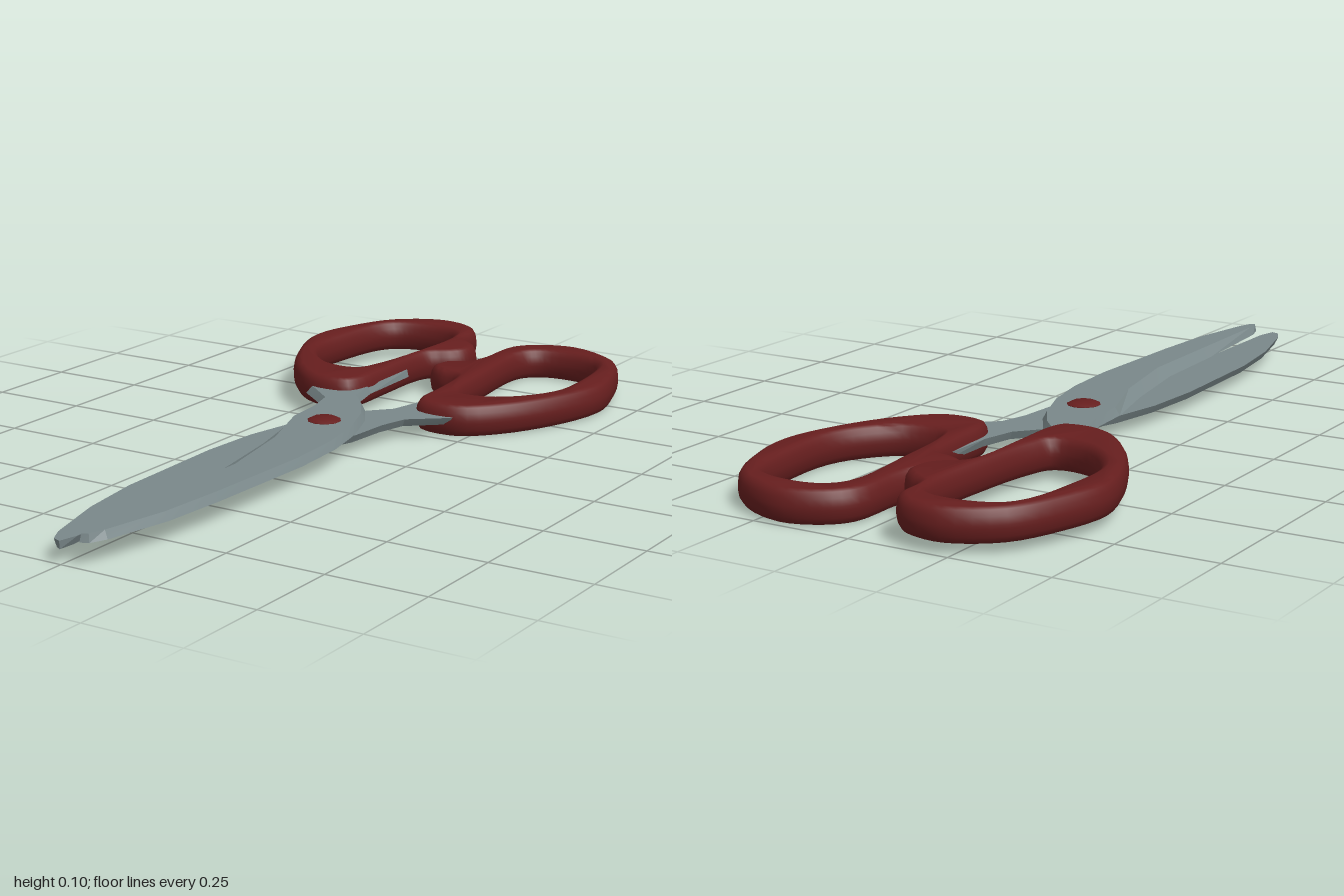
import * as THREE from 'three';
import { toCreasedNormals } from 'three/addons/utils/BufferGeometryUtils.js';

const red = new THREE.MeshStandardMaterial({ color: 0x661e1e });
red.name = 'handleRed';
const steel = new THREE.MeshStandardMaterial({ color: 0x7a888a });
steel.name = 'bladeSteel';

// Outlines are [x, z] pairs seen from above.
const leftGrip = [
  [-0.23, -0.998], [-0.13, -0.985], [-0.08, -0.935], [-0.07, -0.85], [-0.03, -0.82], [0.003, -0.785],
  [0.005, -0.725], [-0.02, -0.685], [-0.06, -0.655], [-0.073, -0.6], [-0.073, -0.45], [-0.075, -0.32],
  [-0.1, -0.278], [-0.2, -0.275], [-0.3, -0.355], [-0.39, -0.5], [-0.44, -0.66], [-0.415, -0.79], [-0.35, -0.925],
];
const rightGrip = [
  [0.2, -0.998], [0.09, -0.963], [0.038, -0.9], [0.03, -0.76], [0.015, -0.705], [-0.03, -0.675],
  [-0.038, -0.61], [0.005, -0.575], [0.06, -0.56], [0.072, -0.53], [0.085, -0.42], [0.093, -0.32],
  [0.12, -0.278], [0.23, -0.275], [0.32, -0.355], [0.4, -0.5], [0.44, -0.66], [0.415, -0.79], [0.35, -0.925],
];
const leftHole = [
  [-0.32, -0.865], [-0.26, -0.9], [-0.155, -0.9], [-0.115, -0.86], [-0.115, -0.62], [-0.135, -0.47],
  [-0.155, -0.42], [-0.245, -0.432], [-0.345, -0.545], [-0.353, -0.7],
];
const rightHole = [
  [0.32, -0.865], [0.26, -0.9], [0.15, -0.9], [0.11, -0.86], [0.12, -0.62], [0.138, -0.47],
  [0.16, -0.42], [0.255, -0.432], [0.345, -0.545], [0.355, -0.7],
];

// Blade and tang: [x, z, inset of the outer face].
const bladeOutline = [
  [-0.1, -0.55, 0.004], [-0.07, -0.55, 0.004], [-0.065, -0.35, 0.008], [-0.045, -0.265, 0.01],
  [0.005, -0.21, 0.01], [0.055, -0.13, 0.01], [0.1, -0.01, 0.01], [0.127, 0.12, 0.012],
  [0.137, 0.28, 0.012], [0.127, 0.6, 0.012], [0.115, 0.77, 0.012], [0.08, 0.94, 0.01],
  [0.062, 0.98, 0.006], [0.042, 0.988, 0.005], [0.027, 0.94, 0.01], [0.005, 0.65, 0.032],
  [-0.005, 0.4, 0.035], [-0.045, 0.17, 0.03], [-0.09, -0.01, 0.012], [-0.098, -0.12, 0.01],
  [-0.118, -0.195, 0.012], [-0.21, -0.27, 0.016], [-0.205, -0.32, 0.01], [-0.14, -0.36, 0.008],
];

// Closed counter-clockwise curve through the points.
function smoothLoop(pts, n) {
  const loop = new THREE.CatmullRomCurve3(pts.map(([x, z]) => new THREE.Vector3(x, -z, 0)), true)
    .getPoints(n).slice(0, -1).map((p) => new THREE.Vector2(p.x, p.y));
  return THREE.ShapeUtils.isClockWise(loop) ? loop.reverse() : loop;
}

// Rounded finger loop, 0.08 thick, standing on baseY.
function makeGrip(name, outline, hole, baseY) {
  const shape = new THREE.Shape(smoothLoop(outline, 76));
  shape.holes.push(new THREE.Path(smoothLoop(hole, 50)));
  const geo = new THREE.ExtrudeGeometry(shape, {
    depth: 0.008, bevelThickness: 0.036, bevelSize: 0.02, bevelOffset: -0.02, bevelSegments: 3,
  });
  geo.rotateX(-Math.PI / 2).translate(0, baseY + 0.036, 0);
  const mesh = new THREE.Mesh(toCreasedNormals(geo, 0.8), red);
  mesh.name = name;
  return mesh;
}

// Flat plate between a full outline and an inset one, giving ground edges.
function makeBlade(name, outline, yFull, yInset) {
  const pts = outline.map(([x, z, inset]) => ({ p: new THREE.Vector2(x, -z), inset }));
  if (THREE.ShapeUtils.isClockWise(pts.map((o) => o.p))) pts.reverse();
  const n = pts.length;
  const full = pts.map((o) => o.p);
  const inner = pts.map(({ p, inset }, i) => {
    const a = p.clone().sub(full[(i + n - 1) % n]).normalize();
    const b = full[(i + 1) % n].clone().sub(p).normalize();
    const t = a.add(b).normalize();
    return new THREE.Vector2(p.x - t.y * inset, p.y + t.x * inset);
  });
  const up = yInset > yFull;
  const rows = up ? [[full, yFull], [inner, yInset]] : [[inner, yInset], [full, yFull]];
  const pos = [];
  for (const [loop, y] of rows) for (const p of loop) pos.push(p.x, y, -p.y);
  const index = [];
  for (const [a, b, c] of THREE.ShapeUtils.triangulateShape(full, [])) {
    index.push(n + a, n + b, n + c, c, b, a);
  }
  for (let i = 0; i < n; i++) {
    const j = (i + 1) % n;
    index.push(i, j, n + j, i, n + j, n + i);
  }
  const geo = new THREE.BufferGeometry();
  geo.setAttribute('position', new THREE.Float32BufferAttribute(pos, 3));
  geo.setIndex(index);
  const mesh = new THREE.Mesh(toCreasedNormals(geo, 0.2), steel);
  mesh.name = name;
  return mesh;
}

export function createModel() {
  const group = new THREE.Group();
  group.name = 'scissors';

  // The lower blade mirrors the upper one, swung slightly at the tip.
  const lowerOutline = bladeOutline.map(([x, z, inset]) => [
    0.012 - x + Math.max(0, z - 0.6) * 0.07, z > 0 ? z * 1.012 : z, inset,
  ]);
  group.add(
    makeBlade('upperBlade', bladeOutline, 0.0535, 0.073),
    makeBlade('lowerBlade', lowerOutline, 0.0525, 0.032),
    makeGrip('rightGrip', leftGrip, leftHole, 0.022),
    makeGrip('leftGrip', rightGrip, rightHole, 0),
  );

  // Pivot rivet with chamfered heads on both faces.
  const profile = [[0, 0.024], [0.03, 0.025], [0.042, 0.031], [0.042, 0.074], [0.03, 0.08], [0, 0.081]];
  const rivetGeo = new THREE.LatheGeometry(profile.map(([r, y]) => new THREE.Vector2(r, y)), 10);
  const rivet = new THREE.Mesh(toCreasedNormals(rivetGeo, 0.6), red);
  rivet.name = 'pivotRivet';
  rivet.position.set(0.004, 0, -0.022);
  group.add(rivet);
  return group;
}
